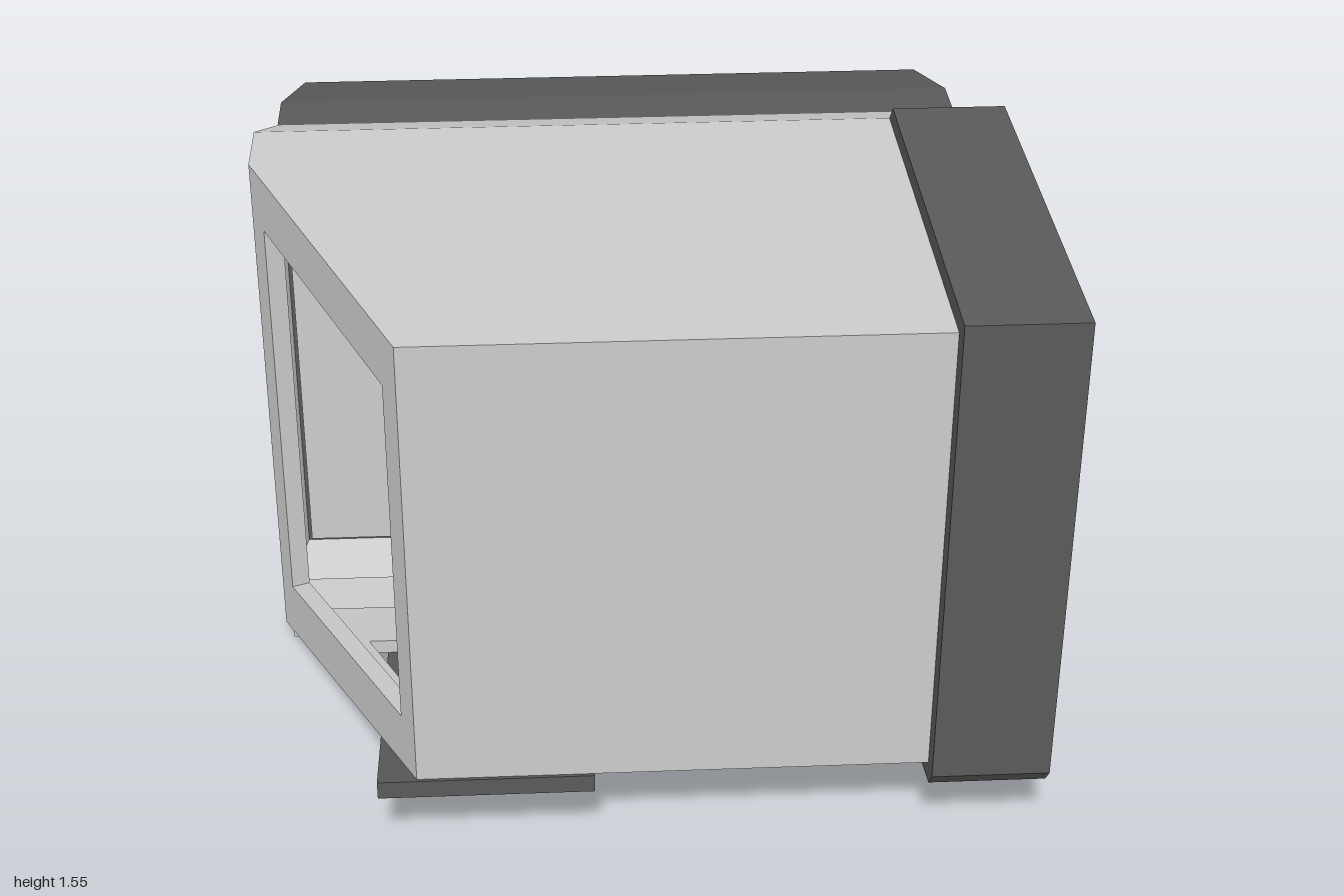
import * as THREE from 'three';

const light = new THREE.MeshStandardMaterial({ color: 0xcccccc, flatShading: true, side: THREE.DoubleSide });
const dark = new THREE.MeshStandardMaterial({ color: 0x5a5a5a, flatShading: true, side: THREE.DoubleSide });
const black = new THREE.MeshStandardMaterial({ color: 0x181818 });

// Joins rectangular sections [z, x0, x1, y0, y1], ordered by rising z
function loft(sections, capped = true) {
  const pos = [];
  const rings = sections.map(([z, x0, x1, y0, y1]) =>
    [[x0, y0, z], [x1, y0, z], [x1, y1, z], [x0, y1, z]]);
  const quad = (a, b, c, d) => pos.push(...a, ...b, ...c, ...a, ...c, ...d);
  for (let i = 0; i < rings.length - 1; i++) {
    for (let j = 0; j < 4; j++) {
      const k = (j + 1) % 4;
      quad(rings[i][j], rings[i][k], rings[i + 1][k], rings[i + 1][j]);
    }
  }
  if (capped) {
    quad(...rings[0].slice().reverse());
    quad(...rings[rings.length - 1]);
  }
  const g = new THREE.BufferGeometry();
  g.setAttribute('position', new THREE.Float32BufferAttribute(pos, 3));
  g.computeVertexNormals();
  return g;
}

const rect = (x0, x1, z0, z1) => [[x0, z0], [x1, z0], [x1, z1], [x0, z1]];

// Horizontal plate from an (x, z) outline; a sloped one rises toward the front
function plate(outline, holes, y, thickness, sloped) {
  const pts = (list) => list.map(([x, z]) => new THREE.Vector2(x, -z));
  const shape = new THREE.Shape(pts(outline));
  holes.forEach((h) => shape.holes.push(new THREE.Path(pts(h))));
  const g = new THREE.ExtrudeGeometry(shape, { depth: thickness, bevelEnabled: false });
  g.rotateX(-Math.PI / 2).translate(0, y, 0);
  if (sloped) {
    const p = g.attributes.position;
    for (let i = 0; i < p.count; i++) p.setY(i, p.getY(i) + 0.2 * (p.getZ(i) + 0.14));
    g.computeVertexNormals();
  }
  return g;
}

// Slanted side wall with its large window opening
function slantedWall() {
  const length = Math.hypot(0.4, 0.99);
  const v = (x, y) => new THREE.Vector2(x, y);
  const shape = new THREE.Shape([v(0, 0.055), v(length, 0.25), v(length, 1.5), v(0, 1.5)]);
  shape.holes.push(new THREE.Path([v(0.093, 0.23), v(0.093, 1.35), v(0.973, 1.35), v(0.973, 0.385)]));
  const g = new THREE.ExtrudeGeometry(shape, { depth: 0.05, bevelEnabled: false });
  g.translate(0, 0, -0.05);
  const along = new THREE.Vector3(0.4, 0, 0.99).normalize();
  const up = new THREE.Vector3(0, 1, 0);
  const out = new THREE.Vector3().crossVectors(along, up);
  g.applyMatrix4(new THREE.Matrix4().makeBasis(along, up, out).setPosition(-1, 0, -0.15));
  return g;
}

export function createModel() {
  const model = new THREE.Group();
  const add = (name, geometry, material) => {
    const mesh = new THREE.Mesh(geometry, material);
    mesh.name = name;
    model.add(mesh);
  };

  // Rear section and the tapered collar in front of it
  add('rearBlock', loft([
    [-0.9, -0.9, 0.85, 0.15, 1.4],
    [-0.65, -0.95, 0.9, 0.1, 1.45],
    [-0.5, -0.95, 0.9, 0.1, 1.45],
  ]), dark);
  add('collar', loft([
    [-0.5, -0.95, 0.9, 0.1, 1.45],
    [-0.35, -1, 0.95, 0.05, 1.5],
  ], false), light);
  add('innerBulkhead', loft([
    [-0.498, -0.94, 0.89, 0.11, 1.44],
    [-0.49, -0.94, 0.89, 0.11, 1.44],
  ]), light);

  // Tall side block with a rising underside
  add('sideBlock', loft([
    [-0.35, 0.7, 0.95, 0.05, 1.5],
    [-0.3, 0.7, 1, 0, 1.55],
    [-0.14, 0.7, 1, 0, 1.55],
    [0.86, 0.7, 1, 0.2, 1.55],
    [0.9, 0.7, 1, 0.25, 1.55],
  ]), dark);

  // Hollow cabin shell
  add('roof', plate([[-1, -0.35], [0.7, -0.35], [0.7, 0.84], [-0.6, 0.84], [-1, -0.15]],
    [], 1.46, 0.04, false), light);
  add('frontWall', loft([[0.8, -0.6, 0.7, 0.25, 1.5], [0.84, -0.6, 0.7, 0.25, 1.5]]), light);
  add('slantedWall', slantedWall(), light);
  add('rearSideWall', loft([[-0.35, -1, -0.95, 0.05, 1.5], [-0.15, -1, -0.95, 0.05, 1.5]]), light);
  add('baseSill', loft([
    [-0.35, -1, 0.7, 0.05, 0.06],
    [-0.3, -0.98, 0.7, 0.005, 0.06],
    [-0.14, -0.98, 0.7, 0.005, 0.06],
  ]), light);

  // Rising floor: slanted opening, middle opening and handle recess
  add('floor', plate(
    [[-1, -0.15], [0.7, -0.15], [0.7, 0.84], [-0.6, 0.84]],
    [
      [[-0.75, 0.08], [-0.25, 0.08], [-0.25, 0.76], [-0.49, 0.76]],
      rect(-0.15, 0.4, -0.12, 0.78),
      rect(0.45, 0.64, 0.08, 0.42),
    ], 0.053, 0.04, true), light);

  // Dark hatch frame below the floor, with its latch
  add('hatchFrame', plate(rect(-0.7, -0.15, -0.1, 0.85),
    [rect(-0.6, -0.25, 0.02, 0.77)], 0.002, 0.05, true), dark);
  add('hatchLatch', plate(rect(-0.205, -0.18, 0.31, 0.47), [], -0.02, 0.03, true), light);

  // Recessed handle in the floor
  add('recessPlate', plate(rect(0.44, 0.65, 0.07, 0.43), [], 0.093, 0.01, true), light);
  add('recessSlot', plate(rect(0.475, 0.62, 0.22, 0.34), [], 0.08, 0.014, true), black);
  add('handleBar', plate(rect(0.45, 0.64, 0.36, 0.42), [], 0.045, 0.02, true), light);

  return model;
}
